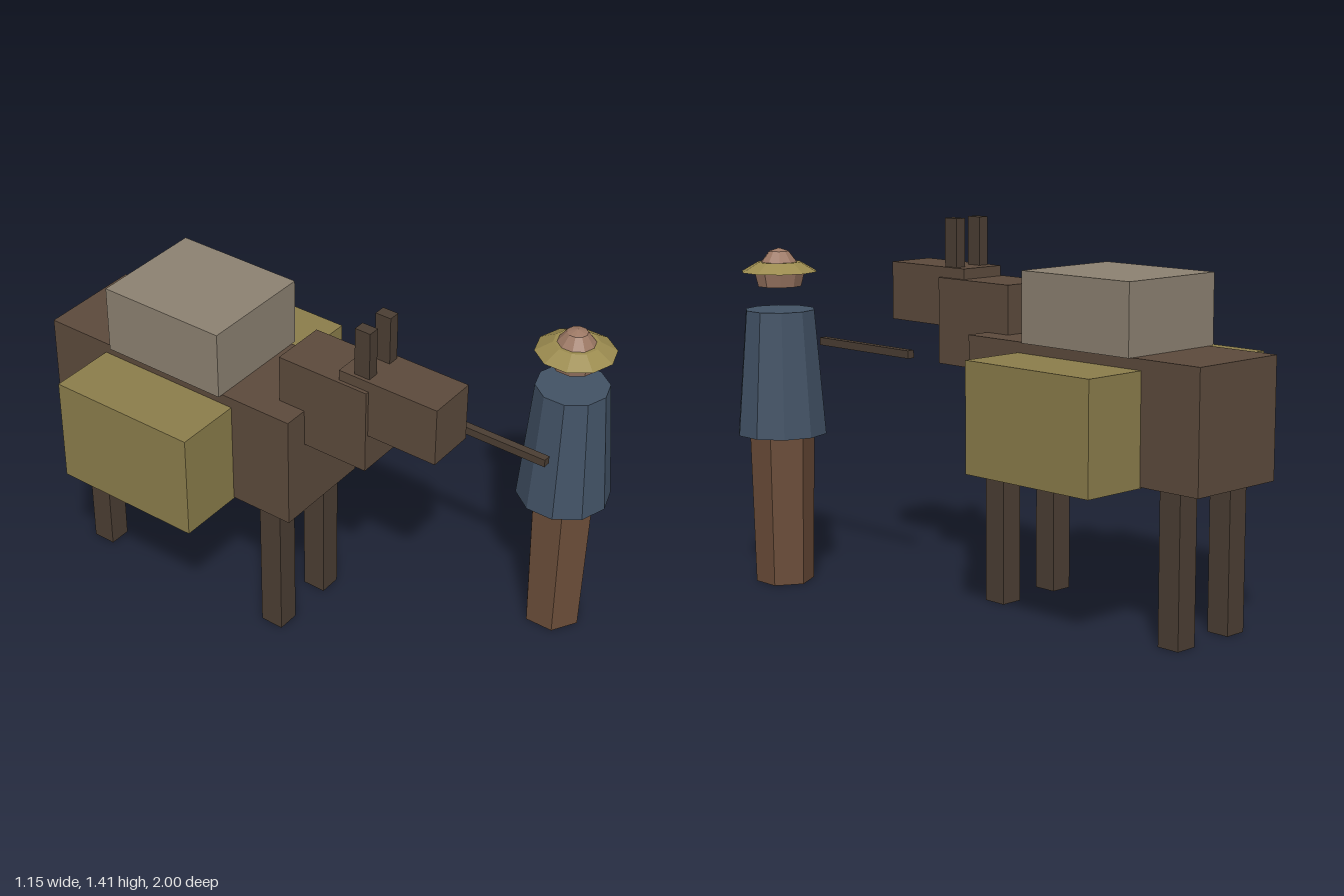
import * as THREE from 'three';

const mat = (color, side = THREE.FrontSide) =>
  new THREE.MeshStandardMaterial({ color, side, flatShading: true });

const hide = mat(0x5c4a3c);
const darkHide = mat(0x4b3e33);
const sack = mat(0x8b7d4b);
const bundle = mat(0x8c8171);
const straw = mat(0x9b8b4f);
const cloth = mat(0x425265);
const trouser = mat(0x6b4d39, THREE.DoubleSide);
const skin = mat(0x9c7864, THREE.DoubleSide);

// Box given by its [min, max] range on each axis
function box(name, material, [x0, x1], [y0, y1], [z0, z1]) {
  const mesh = new THREE.Mesh(new THREE.BoxGeometry(x1 - x0, y1 - y0, z1 - z0), material);
  mesh.position.set((x0 + x1) / 2, (y0 + y1) / 2, (z0 + z1) / 2);
  mesh.name = name;
  return mesh;
}

// Upright tapered prism between two heights
function frustum(name, material, rTop, rBottom, y0, y1, sides, open = false) {
  const mesh = new THREE.Mesh(
    new THREE.CylinderGeometry(rTop, rBottom, y1 - y0, sides, 1, open), material);
  mesh.position.y = (y0 + y1) / 2;
  mesh.name = name;
  return mesh;
}

function createMule() {
  const mule = new THREE.Group();
  mule.name = 'packMule';
  mule.position.x = -0.115;

  mule.add(
    box('body', hide, [-0.205, 0.205], [0.56, 1.005], [-1, 0.11]),
    box('neck', hide, [-0.11, 0.11], [0.86, 1.19], [0, 0.375]),
    box('head', hide, [-0.096, 0.096], [1.005, 1.23], [0.25, 0.655]),
    box('topPack', bundle, [-0.225, 0.225], [1.005, 1.267], [-0.7, -0.185]),
  );

  // Mirrored pairs
  for (const [side, s] of [['left', 1], ['right', -1]]) {
    const span = (a, b) => (s > 0 ? [a, b] : [-b, -a]);
    mule.add(
      box(side + 'Ear', darkHide, span(0.038, 0.082), [1.2, 1.415], [0.305, 0.368]),
      box(side + 'Pack', sack, span(0.195, 0.465), [0.555, 0.965], [-0.74, -0.145]),
      box(side + 'FrontLeg', darkHide, span(0.09, 0.178), [0, 0.57], [-0.045, 0.048]),
      box(side + 'BackLeg', darkHide, span(0.09, 0.178), [0, 0.57], [-0.9, -0.808]),
    );
  }
  return mule;
}

function createHandler() {
  const handler = new THREE.Group();
  handler.name = 'handler';
  handler.position.set(0.407, 0, 0.825);

  handler.add(
    frustum('trousers', trouser, 0.125, 0.112, 0, 0.6, 6, true),
    frustum('coat', cloth, 0.135, 0.175, 0.585, 1.065, 10),
    frustum('hatBrim', straw, 0.083, 0.147, 1.21, 1.247, 10),
  );

  // Rounded head, open at the chin, with its crown showing above the brim
  const profile = [[0.085, 1.155], [0.098, 1.205], [0.069, 1.248], [0.038, 1.288], [0, 1.3]]
    .map(([r, y]) => new THREE.Vector2(r, y));
  const head = new THREE.Mesh(new THREE.LatheGeometry(profile, 10), skin);
  head.name = 'handlerHead';
  handler.add(head);
  return handler;
}

export function createModel() {
  const model = new THREE.Group();
  model.name = 'muleAndHandler';
  model.add(
    createMule(),
    createHandler(),
    box('leadRope', darkHide, [0.13, 0.16], [0.895, 0.925], [0.37, 0.89]),
  );
  return model;
}
